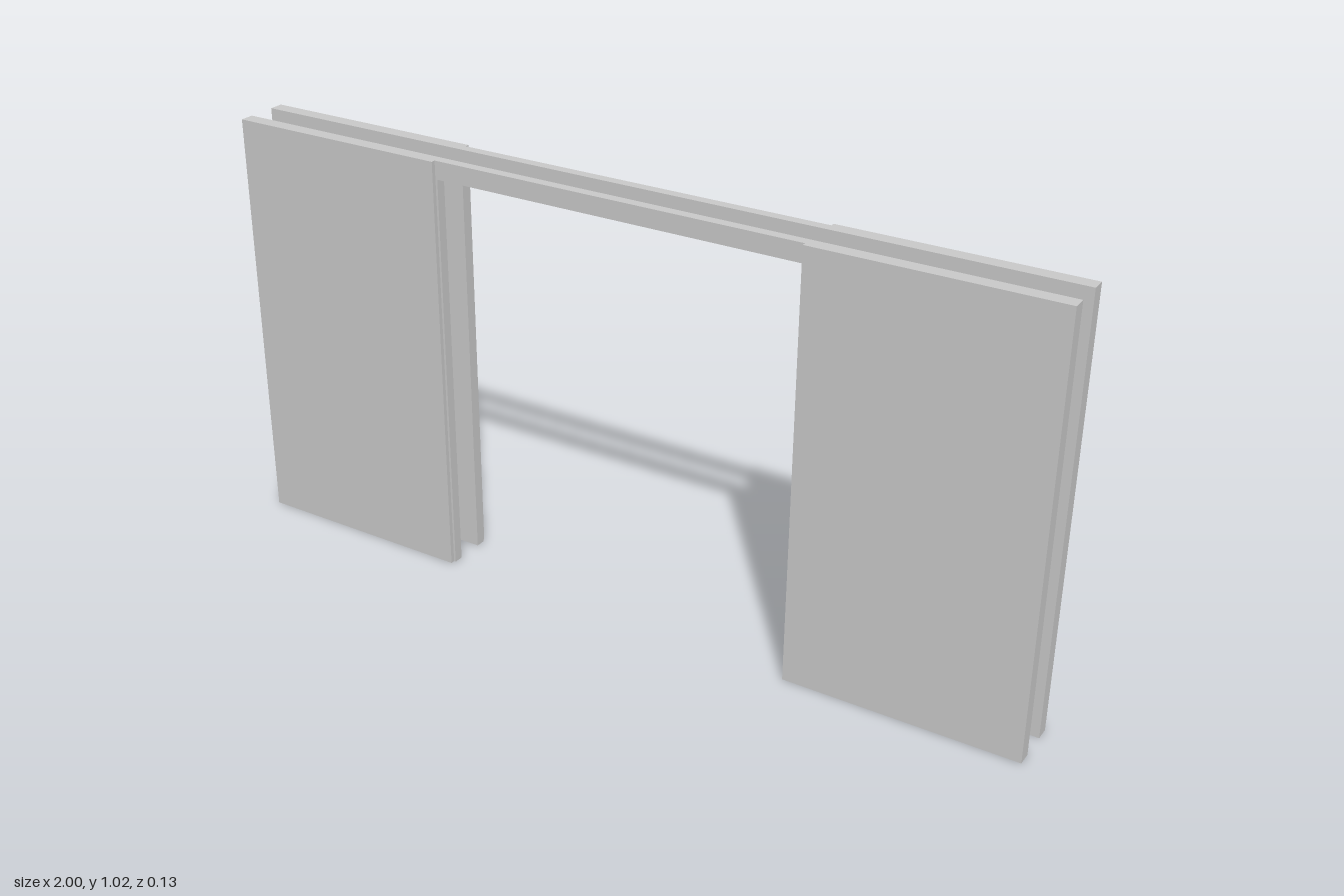
import * as THREE from 'three';

const HEIGHT = 1.016, HALF_WIDTH = 1;
const INNER_Z = 0.033, PANEL_DEPTH = 0.0335, LINING_DEPTH = 0.0235;
const PANEL_EDGE = 0.45, OPENING = 0.445, HEADER_BOTTOM = 0.973;

const material = new THREE.MeshStandardMaterial({ color: 0xcccccc, flatShading: true });

// Header with thin jambs running down both sides of the opening
function createLining() {
  const shape = new THREE.Shape([
    [-PANEL_EDGE, 0], [-OPENING, 0], [-OPENING, HEADER_BOTTOM], [OPENING, HEADER_BOTTOM],
    [OPENING, 0], [PANEL_EDGE, 0], [PANEL_EDGE, HEIGHT], [-PANEL_EDGE, HEIGHT],
  ].map(([x, y]) => new THREE.Vector2(x, y)));
  const geometry = new THREE.ExtrudeGeometry(shape, { depth: LINING_DEPTH, bevelEnabled: false });
  const lining = new THREE.Mesh(geometry, material);
  lining.name = 'openingLining';
  lining.position.z = INNER_Z;
  return lining;
}

// One wall leaf: two wide panels joined by the recessed lining
function createLeaf(name) {
  const leaf = new THREE.Group();
  leaf.name = name;
  const width = HALF_WIDTH - PANEL_EDGE;
  for (const side of [-1, 1]) {
    const panel = new THREE.Mesh(new THREE.BoxGeometry(width, HEIGHT, PANEL_DEPTH), material);
    panel.name = side > 0 ? 'leftPanel' : 'rightPanel';
    panel.position.set(side * (PANEL_EDGE + width / 2), HEIGHT / 2, INNER_Z + PANEL_DEPTH / 2);
    leaf.add(panel);
  }
  leaf.add(createLining());
  return leaf;
}

export function createModel() {
  const model = new THREE.Group();
  model.name = 'doubleWallWithOpening';
  const front = createLeaf('frontLeaf');

  // The back leaf is the front leaf turned around, so its names swap sides
  const back = createLeaf('backLeaf');
  back.rotation.y = Math.PI;
  [back.children[0].name, back.children[1].name] = ['leftPanel', 'rightPanel'];

  model.add(front, back);
  return model;
}
